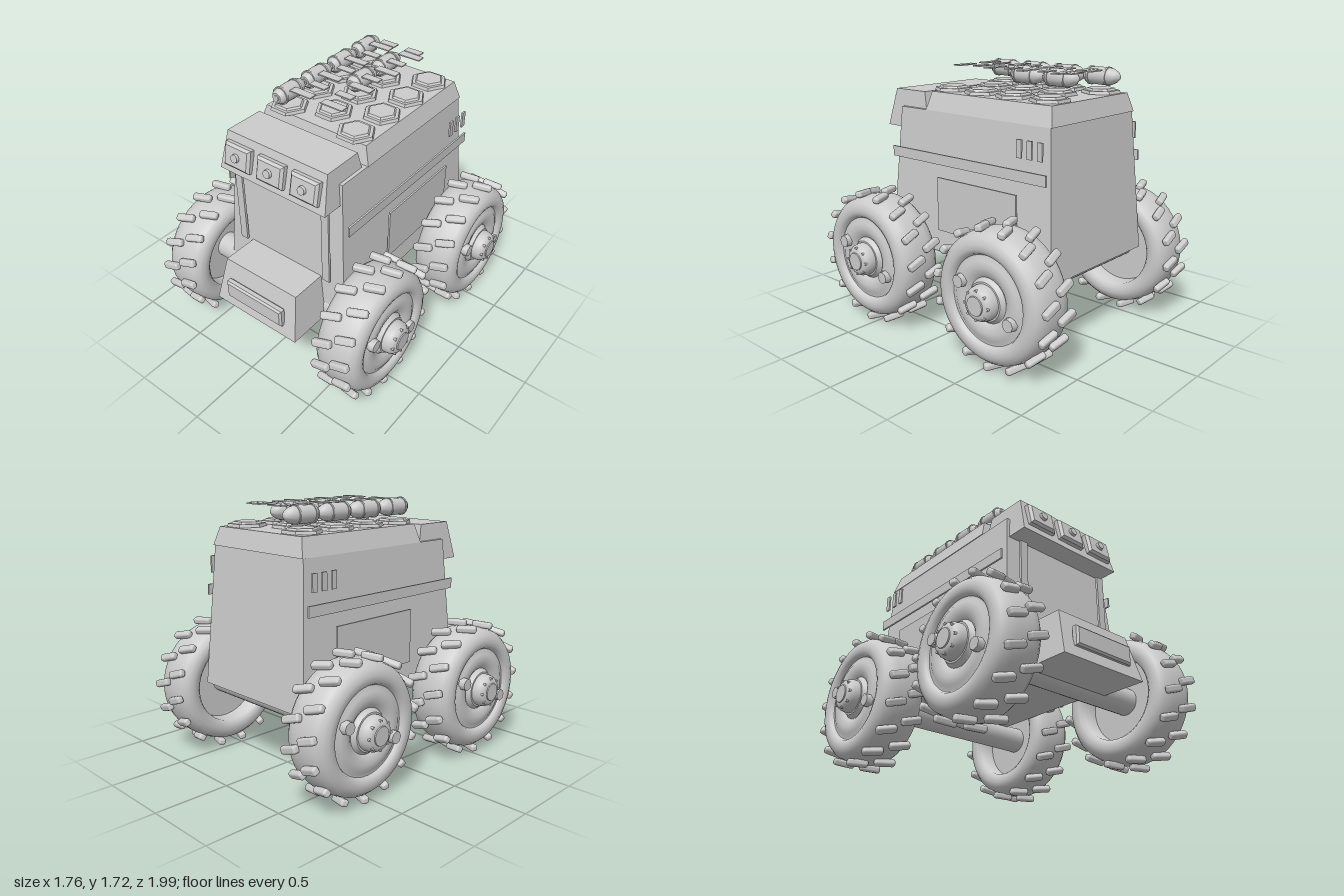
import * as THREE from 'three';
import { RoundedBoxGeometry } from 'three/addons/geometries/RoundedBoxGeometry.js';
import { toCreasedNormals } from 'three/addons/utils/BufferGeometryUtils.js';

const grey = new THREE.MeshStandardMaterial({ color: 0xcccccc });

function add(parent, name, geometry, x = 0, y = 0, z = 0) {
  const mesh = new THREE.Mesh(geometry, grey);
  mesh.name = name;
  mesh.position.set(x, y, z);
  parent.add(mesh);
  return mesh;
}

// Block between two heights with different half widths and z ranges.
function taper(y0, y1, w0, w1, [back0, front0], [back1, front1]) {
  const g = new THREE.BoxGeometry(2, 1, 1);
  const p = g.attributes.position;
  for (let i = 0; i < p.count; i++) {
    const top = p.getY(i) > 0, front = p.getZ(i) > 0;
    p.setXYZ(i, p.getX(i) * (top ? w1 : w0), top ? y1 : y0,
      top ? (front ? front1 : back1) : (front ? front0 : back0));
  }
  g.computeVertexNormals();
  return g;
}

// Plate in the x-y plane with bevelled front edges, back at z = 0.
function bevelPlate(w, h, depth, bevel) {
  const s = new THREE.Shape();
  const a = w / 2 - bevel, b = h / 2 - bevel;
  s.moveTo(-a, -b).lineTo(a, -b).lineTo(a, b).lineTo(-a, b);
  return new THREE.ExtrudeGeometry(s, {
    depth: depth - bevel, bevelEnabled: true, bevelSize: bevel, bevelThickness: bevel, bevelSegments: 1,
  });
}

// Lathe from [radius, height] pairs, with kept creases.
function turned(points, segments, crease = 0.6) {
  const g = new THREE.LatheGeometry(points.map(([r, y]) => new THREE.Vector2(r, y)), segments);
  return toCreasedNormals(g, crease);
}

// Wheel with axis on x, outer face towards +x, centred on the tyre.
function makeWheel() {
  const wheel = new THREE.Group();
  const tyre = turned([
    [0, -0.02], [0.27, -0.02], [0.275, -0.13], [0.3, -0.15], [0.34, -0.153], [0.375, -0.14], [0.4, -0.11],
    [0.412, -0.06], [0.415, 0], [0.412, 0.06], [0.4, 0.11], [0.375, 0.14], [0.34, 0.155], [0.31, 0.155],
    [0.285, 0.145], [0.275, 0.125], [0.265, 0.125], [0.24, 0.14], [0.2, 0.145], [0.16, 0.135],
    [0.14, 0.12], [0.13, 0.13], [0.12, 0.15], [0.1, 0.15], [0, 0.15],
  ], 56, 0.9).rotateZ(-Math.PI / 2);
  add(wheel, 'tyreAndRim', tyre);

  const hub = turned([
    [0.108, 0.13], [0.11, 0.165], [0.105, 0.195], [0.092, 0.218], [0.07, 0.23], [0.06, 0.23], [0.058, 0.237], [0, 0.237],
  ], 28).rotateZ(-Math.PI / 2);
  add(wheel, 'hub', hub);
  const stud = new THREE.CylinderGeometry(0.009, 0.009, 0.02, 8).rotateZ(-Math.PI / 2);
  for (let i = 0; i < 8; i++) {
    const a = (i / 8) * Math.PI * 2;
    add(wheel, 'hubStud', stud, 0.218, Math.cos(a) * 0.088, Math.sin(a) * 0.088);
  }
  const bolt = new THREE.CylinderGeometry(0.04, 0.045, 0.05, 8).rotateZ(-Math.PI / 2);
  for (const s of [-1, 1]) add(wheel, 'rimBolt', bolt, 0.15, s * 0.082, s * 0.195);

  // Two staggered rows of slanted tread blocks
  const block = new RoundedBoxGeometry(0.135, 0.045, 0.05, 2, 0.016);
  const count = 15;
  for (const row of [-1, 1]) {
    for (let i = 0; i < count; i++) {
      const pivot = new THREE.Group();
      pivot.rotation.x = ((i + (row > 0 ? 0.5 : 0)) / count) * Math.PI * 2;
      add(pivot, 'treadBlock', block, row * 0.072, 0.428, 0).rotation.y = 0.33;
      wheel.add(pivot);
    }
  }
  return wheel;
}

export function createModel() {
  const model = new THREE.Group();
  model.name = 'armouredRover';

  // Hull, roof and driver's brow
  add(model, 'hull', taper(0.52, 1.44, 0.48, 0.42, [-0.78, 0.62], [-0.715, 0.555]));
  add(model, 'roof', taper(1.44, 1.56, 0.425, 0.388, [-0.725, 0.315], [-0.695, 0.29]));
  add(model, 'brow', taper(1.3, 1.55, 0.412, 0.384, [0.31, 0.705], [0.365, 0.642]));
  const lampPlate = bevelPlate(0.205, 0.155, 0.045, 0.016);
  const lampKnob = new THREE.CylinderGeometry(0.026, 0.03, 0.03, 16).rotateX(Math.PI / 2);
  for (const x of [-0.26, 0, 0.26]) {
    const lamp = new THREE.Group();
    lamp.name = 'browLamp';
    lamp.position.set(x, 1.423, 0.672);
    lamp.rotation.x = -0.2;
    add(lamp, 'lampPlate', lampPlate);
    add(lamp, 'lampKnob', lampKnob, 0, 0, 0.048);
    model.add(lamp);
  }

  // Front bumper and strips
  add(model, 'bumper', taper(0.41, 0.715, 0.333, 0.29, [0.5, 0.925], [0.55, 0.85]));
  add(model, 'bumperPlate', bevelPlate(0.46, 0.125, 0.04, 0.012), 0, 0.548, 0.895);
  for (const s of [-1, 1]) {
    add(model, 'frontStrip', new THREE.BoxGeometry(0.055, 0.54, 0.016), s * 0.345, 0.99, 0.622);
  }

  // Side door, rail and vents, standing off the hull
  for (const s of [-1, 1]) {
    add(model, 'sideDoor', new THREE.BoxGeometry(0.012, 0.355, 0.67), s * 0.483, 0.848, -0.18);
    add(model, 'sideRail', new THREE.BoxGeometry(0.012, 0.068, 1.315), s * 0.483, 1.145, -0.08);
    for (const z of [-0.535, -0.613, -0.69]) {
      add(model, 'sideVent', new THREE.BoxGeometry(0.012, 0.11, 0.036), s * 0.483, 1.308, z);
    }
  }

  // Hexagonal roof plates in three columns
  const hexBase = toCreasedNormals(new THREE.CylinderGeometry(0.12, 0.126, 0.02, 6).rotateY(Math.PI / 6), 0.1);
  const hexTop = toCreasedNormals(new THREE.CylinderGeometry(0.088, 0.1, 0.015, 6).rotateY(Math.PI / 6), 0.1);
  for (const [x, n, z0] of [[-0.26, 4, 0.22], [0, 3, 0.1], [0.26, 4, 0.22]]) {
    for (let i = 0; i < n; i++) {
      const z = z0 - i * 0.266;
      add(model, 'hexPlate', hexBase, x, 1.572, z);
      add(model, 'hexPlateTop', hexTop, x, 1.587, z);
    }
  }

  // Canisters over the roof
  const canister = turned([
    [0, -0.13], [0.014, -0.126], [0.035, -0.105], [0.05, -0.075], [0.055, -0.05], [0.06, -0.05], [0.06, -0.038],
    [0.054, -0.038], [0.057, 0], [0.054, 0.08], [0.06, 0.08], [0.06, 0.094], [0.052, 0.094], [0.045, 0.115],
    [0.032, 0.128], [0.02, 0.128], [0.018, 0.133], [0, 0.133],
  ], 20).rotateX(Math.PI / 2);
  for (const [x, n, z0] of [[-0.26, 4, 0.207], [0, 2, -0.2]]) {
    for (let i = 0; i < n; i++) add(model, 'canister', canister, x, 1.669, z0 - i * 0.266);
  }

  // Thin slats beside the middle canisters
  const longSlat = new THREE.BoxGeometry(0.16, 0.008, 0.058);
  const shortSlat = new THREE.BoxGeometry(0.12, 0.008, 0.055);
  for (const s of [-1, 1]) {
    for (let i = 0; i < 4; i++) {
      const z = 0.25 - i * 0.271;
      add(model, 'longSlat', longSlat, s * 0.12, 1.715, z);
      add(model, 'shortSlat', shortSlat, s * 0.1, 1.715, i < 3 ? z - 0.135 : z - 0.065);
    }
  }

  // Axles and wheels
  for (const z of [-0.545, 0.545]) {
    add(model, 'axle', new THREE.CylinderGeometry(0.09, 0.09, 1.26, 24).rotateZ(Math.PI / 2), 0, 0.46, z);
    for (const s of [-1, 1]) {
      const wheel = makeWheel();
      wheel.name = (z > 0 ? 'front' : 'rear') + (s > 0 ? 'Left' : 'Right') + 'Wheel';
      wheel.position.set(s * 0.645, 0.46, z);
      if (s < 0) wheel.rotation.y = Math.PI;
      model.add(wheel);
    }
  }
  return model;
}
